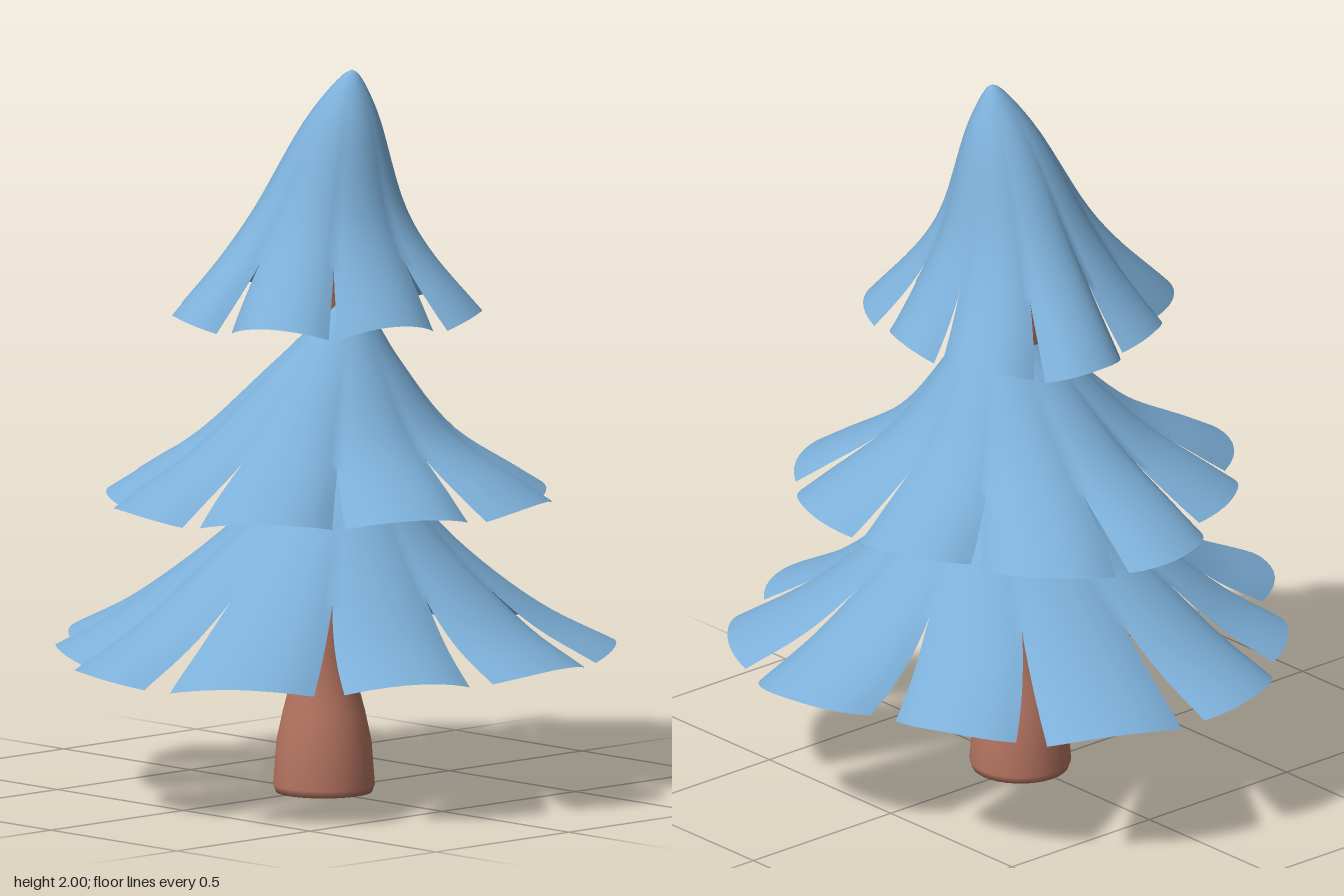
import * as THREE from 'three';
import { mergeVertices } from 'three/addons/utils/BufferGeometryUtils.js';

const DEG = Math.PI / 180;
const { lerp, smoothstep } = THREE.MathUtils;

// A leaning skirt of branches whose rim is cut into evenly spaced, drooping lobes.
// profile: [radius, height] from tip to rim; from/to: rim radius at each side of a lobe;
// first: angle of the first lobe from +x towards +z; gap: opening between lobes in degrees;
// slit: share of the radius at which the gaps begin
function branchGeometry({ profile, from, to, first, gap, slit, droop }) {
  const ROWS = 28, COLS = 12, n = from.length, step = 360 / n;
  const curve = new THREE.CatmullRomCurve3(profile.map(([r, y]) => new THREE.Vector3(r, y, 0)));
  const [rimR, rimY] = profile[profile.length - 1];
  const tipY = profile[0][1];
  const pos = [], idx = [];

  // Radius shared by neighbouring lobes above the slit
  const seam = (k) => (to[(k + n) % n] + from[(k + 1) % n]) / 2;

  for (let k = 0; k < n; k++) {
    const base = pos.length / 3;
    const middle = Math.max(from[k], to[k]) + 0.02;
    for (let i = 0; i <= ROWS; i++) {
      const p = curve.getPoint(i / ROWS);
      const v = p.x / rimR;
      const open = Math.max(0, (v - slit) / (1 - slit));
      const r0 = lerp(seam(k - 1), from[k], open);
      const r1 = lerp(seam(k), to[k], open);
      const lobed = smoothstep(v, 0.1, 0.95);
      const lean = Math.pow(Math.max(0, (p.y - rimY) / (tipY - rimY)), 1.3);
      for (let j = 0; j <= COLS; j++) {
        const s = j / COLS, u = 2 * s - 1;
        const bulge = 1 - Math.pow(Math.abs(u), 2.6);
        const rim = lerp(r0, r1, s) + (middle - (r0 + r1) / 2) * bulge;
        const r = p.x * lerp(1, rim / rimR, lobed);
        const a = (first + k * step + s * step - u * open * gap / 2 - gap / 2) * DEG;
        pos.push(
          0.1 * lean + r * Math.cos(a),
          p.y - droop * u * u * v * v,
          -0.04 * lean + r * Math.sin(a),
        );
        if (i < ROWS && j < COLS) {
          const c = base + i * (COLS + 1) + j, d = c + COLS + 1;
          if (i > 0) idx.push(c, c + 1, d);
          idx.push(c + 1, d + 1, d);
        }
      }
    }
  }

  const g = new THREE.BufferGeometry();
  g.setAttribute('position', new THREE.Float32BufferAttribute(pos, 3));
  g.setIndex(idx);
  const welded = mergeVertices(g, 1e-4);
  welded.computeVertexNormals();
  return welded;
}

export function createModel() {
  const group = new THREE.Group();
  const needles = new THREE.MeshStandardMaterial({ color: 0x7cafd8, side: THREE.DoubleSide });
  needles.name = 'blueNeedles';
  const bark = new THREE.MeshStandardMaterial({ color: 0xb37360 });
  bark.name = 'brownBark';

  const add = (name, geometry, material) => {
    const mesh = new THREE.Mesh(geometry, material);
    mesh.name = name;
    group.add(mesh);
    return mesh;
  };

  // Trunk, flared at the foot and tapering up into the top tier
  const trunkProfile = [
    [0, 0], [0.132, 0], [0.139, 0.02], [0.13, 0.14], [0.113, 0.22],
    [0.095, 0.29], [0.084, 0.38], [0.05, 1.5], [0, 1.66],
  ].map(([r, y]) => new THREE.Vector2(r, y));
  add('trunk', new THREE.LatheGeometry(trunkProfile, 32), bark).position.set(0.02, 0, -0.01);

  // Lower tier, ten lobes
  add('lowerBranches', branchGeometry({
    profile: [[0, 1], [0.04, 0.98], [0.185, 0.84], [0.375, 0.665], [0.6, 0.5], [0.79, 0.403]],
    from: [0.69, 0.8, 0.77, 0.72, 0.75, 0.79, 0.67, 0.7, 0.76, 0.73],
    to: [0.79, 0.78, 0.72, 0.73, 0.8, 0.69, 0.69, 0.75, 0.76, 0.68],
    first: -100, gap: 6.5, slit: 0.6, droop: 0.025,
  }), needles);

  // Middle tier, nine lobes
  add('middleBranches', branchGeometry({
    profile: [[0, 1.37], [0.035, 1.355], [0.165, 1.2], [0.355, 1], [0.55, 0.88], [0.63, 0.832]],
    from: [0.52, 0.57, 0.64, 0.59, 0.55, 0.63, 0.55, 0.5, 0.63],
    to: [0.57, 0.61, 0.62, 0.54, 0.61, 0.56, 0.51, 0.62, 0.55],
    first: -121, gap: 4, slit: 0.64, droop: 0.025,
  }), needles);

  // Top tier, eight lobes
  add('topBranches', branchGeometry({
    profile: [[0, 2], [0.02, 1.988], [0.093, 1.88], [0.21, 1.62], [0.29, 1.5], [0.43, 1.342]],
    from: [0.4, 0.38, 0.42, 0.42, 0.43, 0.42, 0.35, 0.33],
    to: [0.38, 0.37, 0.445, 0.42, 0.39, 0.35, 0.33, 0.42],
    first: -141, gap: 4, slit: 0.68, droop: 0.03,
  }), needles);

  return group;
}
